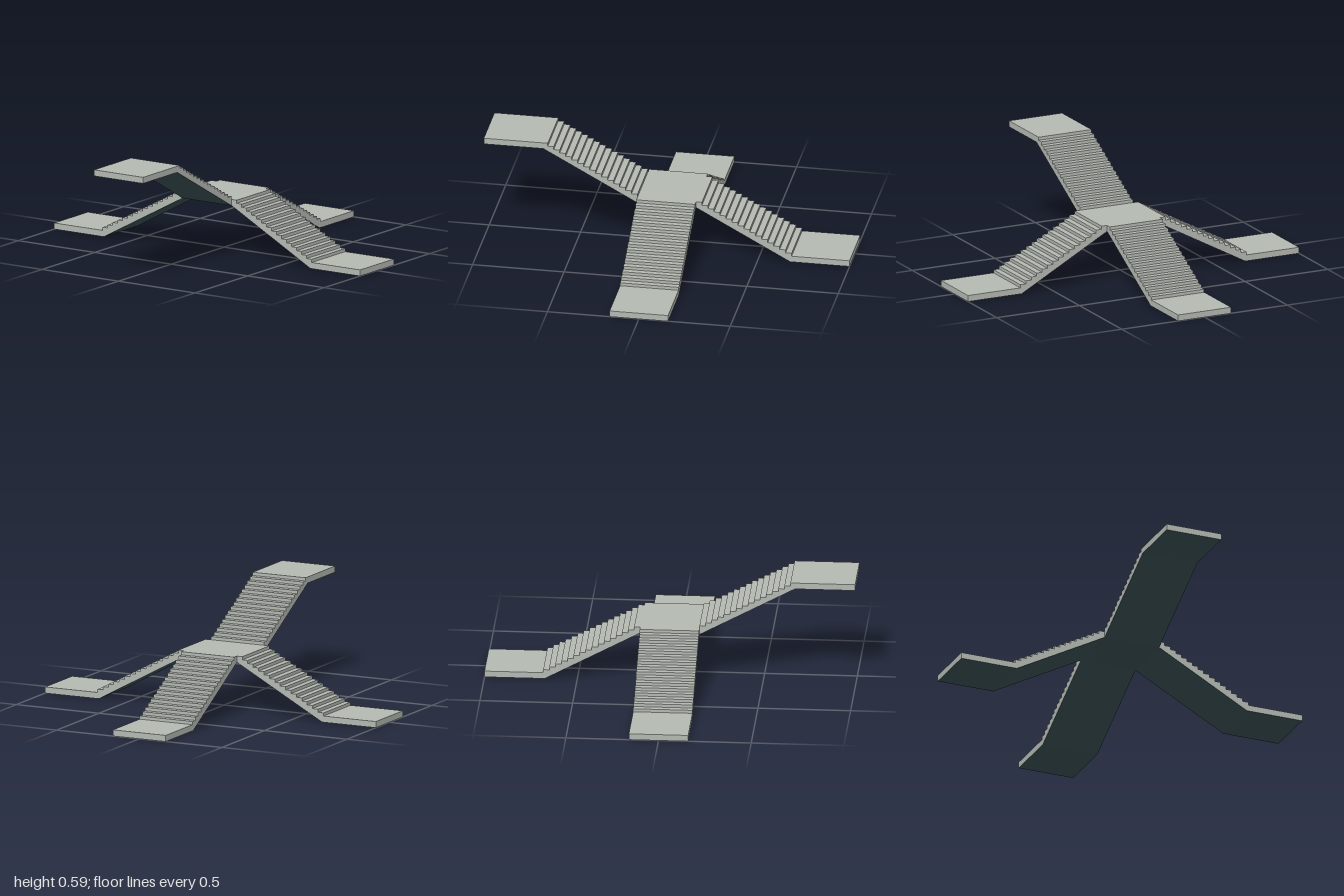
import * as THREE from 'three';

const HALF = 0.16;        // half width of every flight
const SLAB = 0.034;       // landing thickness
const MID = 0.314;        // top of the central landing
const RISERS = 16;
const RUN = 0.0327;       // tread depth
const RISE = (MID - SLAB) / RISERS;

const concrete = new THREE.MeshStandardMaterial({ color: 0xb4b9b2 });
concrete.name = 'pale concrete';
const soffit = new THREE.MeshStandardMaterial({ color: 0x3a5054 });
soffit.name = 'dark soffit';

// Extrude a side profile across the width; downward faces take the soffit colour
function slab(name, points) {
  const shape = new THREE.Shape(points.map(([x, y]) => new THREE.Vector2(x, y)));
  const geo = new THREE.ExtrudeGeometry(shape, { depth: HALF * 2, bevelEnabled: false });
  geo.translate(0, 0, -HALF);
  geo.clearGroups();
  const normal = geo.attributes.normal;
  let start = 0;
  const kind = (i) => (normal.getY(i) < -0.5 ? 1 : 0);
  for (let i = 3; i <= normal.count; i += 3) {
    if (i === normal.count || kind(i) !== kind(start)) {
      geo.addGroup(start, i - start, kind(start));
      start = i;
    }
  }
  const mesh = new THREE.Mesh(geo, [concrete, soffit]);
  mesh.name = name;
  return mesh;
}

// Stepped flight running outward along +x, ending in a flat landing
function flight(name, direction, turn) {
  const first = direction > 0 ? HALF : HALF + RUN;
  const end = MID + direction * RISE * RISERS;
  const points = [[HALF, MID - SLAB]];
  if (direction < 0) points.push([HALF, MID]);
  for (let i = 0; i < RISERS; i++) {
    const x = first + i * RUN;
    if (i > 0 || direction < 0) points.push([x, MID + direction * i * RISE]);
    else points.push([x, MID]);
    points.push([x, MID + direction * (i + 1) * RISE]);
  }
  points.push([1, end], [1, end - SLAB], [0.675, end - SLAB]);
  const mesh = slab(name, points);
  mesh.rotation.y = turn;
  return mesh;
}

export function createModel() {
  const model = new THREE.Group();
  model.name = 'crossingStairs';

  // Central landing
  model.add(slab('centralLanding', [
    [-HALF, MID - SLAB], [HALF, MID - SLAB], [HALF, MID], [-HALF, MID],
  ]));

  // Three flights down, one flight up to the front
  model.add(flight('leftFlight', -1, 0));
  model.add(flight('rightFlight', -1, Math.PI));
  model.add(flight('backFlight', -1, Math.PI / 2));
  model.add(flight('frontUpperFlight', 1, -Math.PI / 2));
  return model;
}
